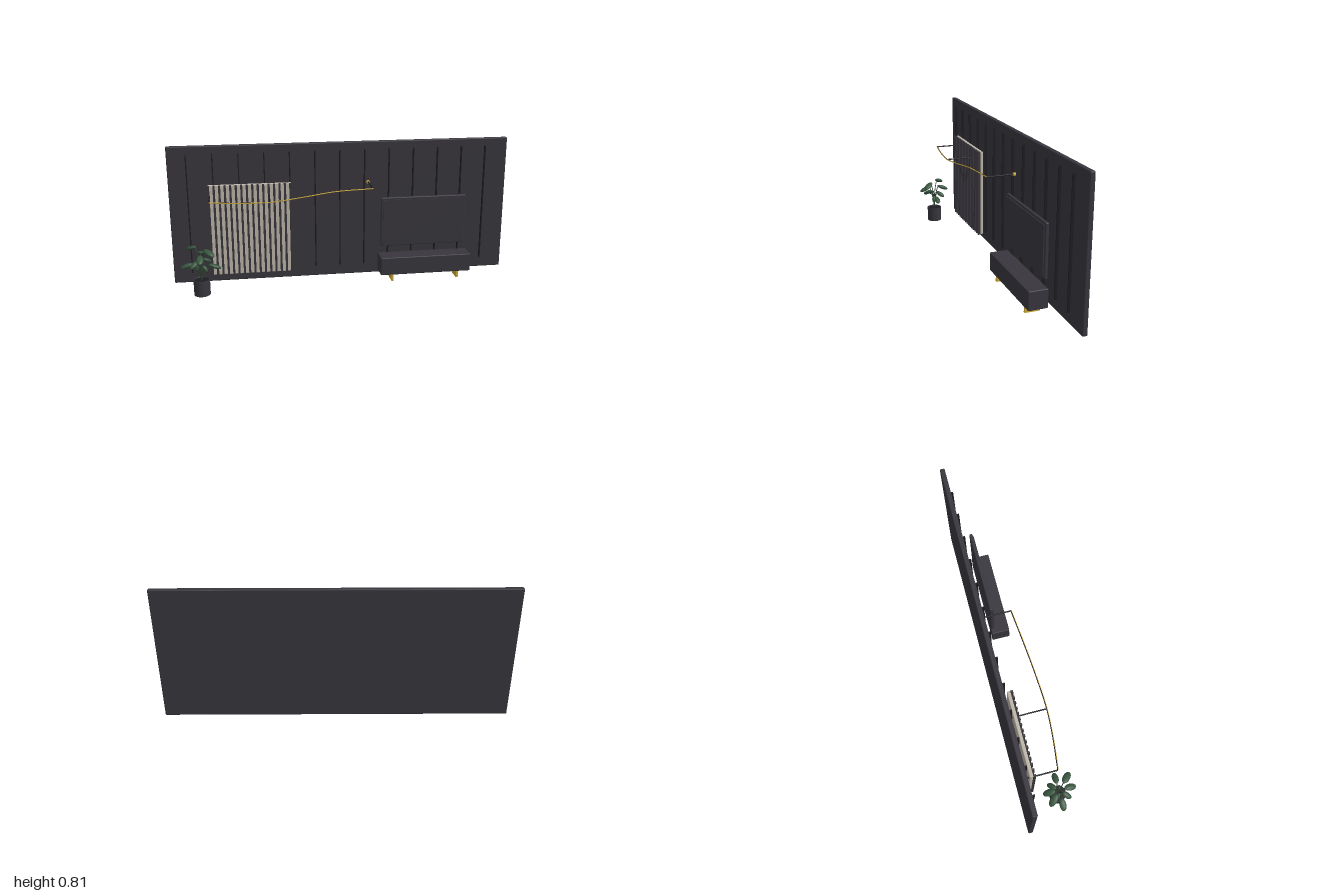
import * as THREE from 'three';
import { RoundedBoxGeometry } from 'three/addons/geometries/RoundedBoxGeometry.js';

const mat = (name, color) => {
  const m = new THREE.MeshStandardMaterial({ color });
  m.name = name;
  return m;
};

export function createModel() {
  const charcoal = mat('charcoal', 0x38363d);
  const black = mat('black', 0x1d1c20);
  const beige = mat('beige', 0xbcb4a8);
  const gold = mat('gold', 0xcfa935);
  const leafGreen = mat('leaf green', 0x38553f);
  const stemGreen = mat('stem green', 0x2f4033);

  const root = new THREE.Group();
  root.name = 'mediaWall';

  const group = (name, parent = root) => {
    const g = new THREE.Group();
    g.name = name;
    parent.add(g);
    return g;
  };
  const add = (name, geo, material, parent = root) => {
    const m = new THREE.Mesh(geo, material);
    m.name = name;
    parent.add(m);
    return m;
  };
  // box from its min and max corners, optionally rounded
  const box = (name, [x0, y0, z0], [x1, y1, z1], material, parent, radius = 0) => {
    const s = [x1 - x0, y1 - y0, z1 - z0];
    const geo = radius ? new RoundedBoxGeometry(...s, 2, radius) : new THREE.BoxGeometry(...s);
    const m = add(name, geo, material, parent);
    m.position.set((x0 + x1) / 2, (y0 + y1) / 2, (z0 + z1) / 2);
    return m;
  };
  const tube = (name, curve, radius, segments, material, parent) =>
    add(name, new THREE.TubeGeometry(curve, segments, radius, 8), material, parent);

  // wall panel with thin vertical battens
  box('wallPanel', [-1, 0, -0.16], [1, 0.815, -0.132], charcoal, root, 0.006);
  const battens = group('battens');
  for (let i = 0; i < 13; i++) {
    const x = -0.893 + i * 0.1462;
    box('batten', [x - 0.003, 0.065, -0.133], [x + 0.003, 0.77, -0.117], black, battens);
  }

  // slatted panel: light board with dark slats
  const slats = group('slattedPanel');
  box('slatBoard', [-0.78, 0.055, -0.107], [-0.305, 0.595, -0.087], beige, slats, 0.005);
  for (let i = 0; i < 16; i++) {
    const x = -0.775 + i * 0.031;
    box('slat', [x - 0.006, 0.055, -0.088], [x + 0.006, 0.595, -0.073], charcoal, slats);
  }

  // curved rail on three wall brackets
  const rail = group('curvedRail');
  const railPoints = [
    [-0.77, 0.532, 0.05], [-0.6, 0.529, 0.072], [-0.435, 0.531, 0.083],
    [-0.25, 0.55, 0.074], [-0.07, 0.57, 0.058], [0.152, 0.574, 0.037],
  ];
  const railCurve = (dz) => new THREE.CatmullRomCurve3(
    railPoints.map(([x, y, z]) => new THREE.Vector3(x, y, z + dz)));
  tube('railCore', railCurve(0), 0.0034, 64, black, rail);
  tube('railTrim', railCurve(0.0012), 0.003, 64, gold, rail);
  for (const [x, y, z] of [railPoints[0], railPoints[2], railPoints[5]]) {
    const arm = add('bracketArm', new THREE.CylinderGeometry(0.004, 0.004, z + 0.125, 12), black, rail);
    arm.rotation.x = Math.PI / 2;
    arm.position.set(x, y, (z - 0.125) / 2);
    const plate = add('wallPlate', new THREE.CylinderGeometry(0.01, 0.01, 0.014, 20), gold, rail);
    plate.rotation.x = Math.PI / 2;
    plate.position.set(x, y, -0.125);
  }

  // television
  const tv = group('television');
  box('tvBody', [0.219, 0.194, -0.071], [0.731, 0.492, -0.052], charcoal, tv, 0.005);
  box('tvScreen', [0.231, 0.207, -0.053], [0.719, 0.478, -0.047], charcoal, tv);

  // low console on two gold legs
  const cabinet = group('console');
  box('consoleBody', [0.204, 0.043, -0.07], [0.748, 0.15, 0.04], charcoal, cabinet, 0.005);
  for (const x of [0.277, 0.674])
    box('consoleLeg', [x - 0.006, 0, -0.057], [x + 0.006, 0.044, 0.028], gold, cabinet);

  // potted plant
  const plant = group('pottedPlant');
  plant.position.set(-0.832, 0, 0.062);
  const potProfile = [[0, 0], [0.044, 0], [0.046, 0.002], [0.046, 0.091], [0.045, 0.092],
    [0.042, 0.092], [0.042, 0.084]].map(([r, y]) => new THREE.Vector2(r, y));
  add('pot', new THREE.LatheGeometry(potProfile, 32), charcoal, plant);
  const soil = add('soil', new THREE.CircleGeometry(0.043, 32), black, plant);
  soil.rotation.x = -Math.PI / 2;
  soil.position.y = 0.086;

  // leaves: angle, distance out, height, half length, droop
  const leaves = [
    [0, 0.078, 0.165, 0.036, 0.35], [180, 0.078, 0.175, 0.038, 0.35],
    [90, 0.062, 0.227, 0.038, 0.4], [270, 0.062, 0.227, 0.038, 0.4],
    [45, 0.073, 0.262, 0.04, 0.35], [225, 0.073, 0.262, 0.04, 0.35],
    [135, 0.05, 0.19, 0.032, 0.5], [315, 0.05, 0.19, 0.032, 0.5],
    [20, 0.024, 0.155, 0.022, 1.0], [200, 0.024, 0.155, 0.022, 1.0],
  ];
  const leafGeo = new THREE.SphereGeometry(1, 20, 12);
  for (const [deg, out, y, half, droop] of leaves) {
    const stalk = group('leafStalk', plant);
    stalk.rotation.y = -THREE.MathUtils.degToRad(deg);
    const leaf = add('leaf', leafGeo, leafGreen, stalk);
    leaf.scale.set(half, 0.012, half * 0.52);
    leaf.rotation.z = -droop;
    leaf.position.set(out, y, 0);
    // stem arches up and over to the inner tip of the leaf
    const tipX = out - half * 0.8 * Math.cos(droop);
    const tipY = y + half * 0.8 * Math.sin(droop);
    const stem = new THREE.CatmullRomCurve3([
      new THREE.Vector3(0.001, 0.084, 0),
      new THREE.Vector3(0.007, 0.084 + (tipY - 0.084) * 0.5, 0),
      new THREE.Vector3(tipX * 0.6 + 0.003, 0.084 + (tipY - 0.084) * 0.88, 0),
      new THREE.Vector3(tipX, tipY, 0),
    ]);
    tube('stem', stem, 0.0026, 14, stemGreen, stalk);
  }

  return root;
}
